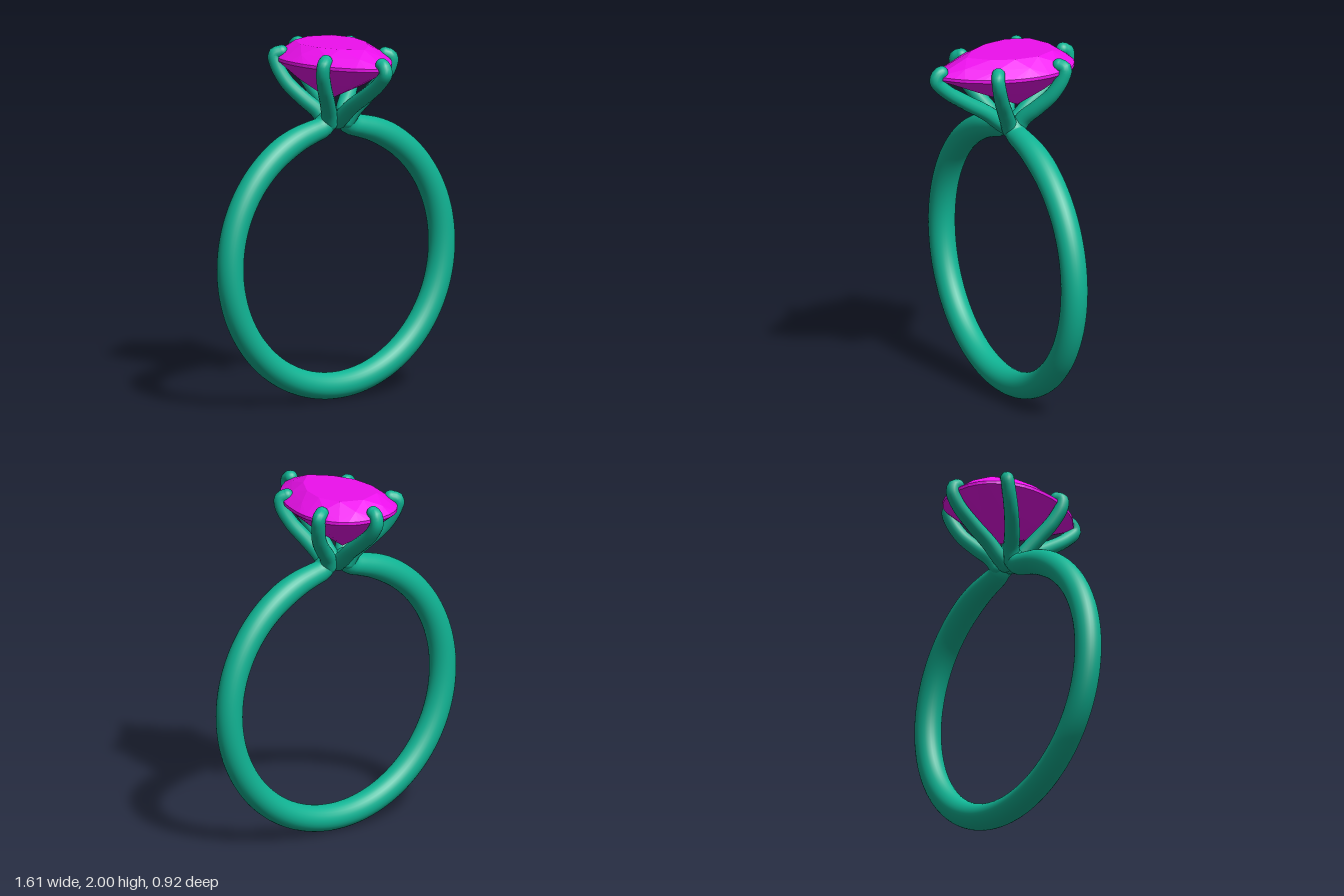
import * as THREE from 'three';
import { ConvexGeometry } from 'three/addons/geometries/ConvexGeometry.js';

const metal = new THREE.MeshStandardMaterial({ color: 0x10b494 });
const gem = new THREE.MeshStandardMaterial({ color: 0xee10ee, flatShading: true });
const BAND_Z = -0.04;
const v = (x, y, z) => new THREE.Vector3(x, y, z);

// Round tube along a smooth path, with a varying radius and rounded ends
function taperedTube(name, points, radiusAt, steps, sides) {
  const group = new THREE.Group();
  group.name = name;
  const curve = new THREE.CatmullRomCurve3(points);
  const geometry = new THREE.TubeGeometry(curve, steps, 1, sides);
  const pos = geometry.attributes.position;
  const p = new THREE.Vector3();
  for (let i = 0; i <= steps; i++) {
    const centre = curve.getPointAt(i / steps);
    for (let j = 0; j <= sides; j++) {
      const k = i * (sides + 1) + j;
      p.fromBufferAttribute(pos, k).sub(centre).multiplyScalar(radiusAt(i / steps)).add(centre);
      pos.setXYZ(k, p.x, p.y, p.z);
    }
  }
  group.add(new THREE.Mesh(geometry, metal));
  for (const t of [0, 1]) {
    const cap = new THREE.Mesh(new THREE.SphereGeometry(radiusAt(t), 20, 14), metal);
    cap.position.copy(curve.getPointAt(t));
    group.add(cap);
  }
  return group;
}

// Band: an open circle whose ends turn up into the setting
function makeBand() {
  const R = 0.73, cy = 0.805, gap = 0.23, n = 48;
  const points = [v(0.062, 1.575, BAND_Z), v(0.095, 1.537, BAND_Z)];
  for (let i = 0; i <= n; i++) {
    const a = gap + (i / n) * (2 * Math.PI - 2 * gap);
    points.push(v(R * Math.sin(a), cy + R * Math.cos(a), BAND_Z));
  }
  points.push(v(-0.095, 1.537, BAND_Z), v(-0.062, 1.575, BAND_Z));
  const radius = t => 0.06 + 0.015 * THREE.MathUtils.smoothstep(Math.min(t, 1 - t), 0, 0.08);
  return taperedTube('band', points, radius, 200, 28);
}

const prongRadius = t => 0.046 - 0.009 * t;
const makeProng = (name, points) =>
  taperedTube(name, points.map(q => v(...q)), prongRadius, 40, 16);

// Pear-shaped stone: rings of the outline at several heights, joined as a convex solid
function makeStone() {
  const half = [[0, -0.415], [0.11, -0.397], [0.195, -0.345], [0.255, -0.255], [0.285, -0.14],
    [0.275, 0], [0.245, 0.11], [0.195, 0.21], [0.115, 0.32], [0, 0.415]];
  const side = new THREE.CatmullRomCurve3(half.map(([x, z]) => v(x, 0, z)));
  const points = [];
  const ring = (y, scale, count, shift = 0, cz = -0.1) => {
    for (let i = 0; i < count; i++) {
      const t = ((i + shift) / count) * 2;
      const q = side.getPointAt(t <= 1 ? t : 2 - t);
      points.push(v((t <= 1 ? 1 : -1) * q.x * scale, y, cz + (q.z - cz) * scale));
    }
  };
  ring(2.0, 0.63, 10);          // table
  ring(1.962, 0.84, 10, 0.5);   // crown facets
  ring(1.92, 1, 40);            // girdle, upper edge
  ring(1.902, 1, 40);           // girdle, lower edge
  ring(1.79, 0.56, 10, 0.5);    // pavilion facets
  points.push(v(0, 1.675, -0.1)); // culet
  const stone = new THREE.Mesh(new ConvexGeometry(points), gem);
  stone.name = 'stone';
  return stone;
}

export function createModel() {
  const model = new THREE.Group();
  model.name = 'ring';
  model.add(makeBand(), makeStone());

  // Prongs at the point and the rounded back
  model.add(makeProng('frontProng', [[0, 1.565, -0.02], [0, 1.6, 0.025], [0, 1.66, 0.1],
    [0, 1.74, 0.23], [0, 1.825, 0.355], [0, 1.895, 0.42], [0, 1.932, 0.405], [0, 1.94, 0.385]]));
  model.add(makeProng('backProng', [[0, 1.565, -0.06], [0, 1.6, -0.105], [0, 1.66, -0.17],
    [0, 1.74, -0.28], [0, 1.825, -0.38], [0, 1.895, -0.423], [0, 1.94, -0.415], [0, 1.95, -0.39]]));

  // Paired side prongs
  for (const [side, s] of [['left', 1], ['right', -1]]) {
    model.add(makeProng(side + 'FrontProng', [[0.06, 1.56, -0.02], [0.085, 1.62, 0.01],
      [0.135, 1.7, 0.06], [0.195, 1.79, 0.115], [0.233, 1.88, 0.152], [0.232, 1.93, 0.158],
      [0.205, 1.945, 0.14]].map(([x, y, z]) => [s * x, y, z])));
    model.add(makeProng(side + 'BackProng', [[0.065, 1.56, -0.06], [0.09, 1.62, -0.085],
      [0.155, 1.69, -0.13], [0.225, 1.78, -0.19], [0.264, 1.88, -0.237], [0.268, 1.935, -0.25],
      [0.235, 1.95, -0.23]].map(([x, y, z]) => [s * x, y, z])));
  }
  return model;
}
